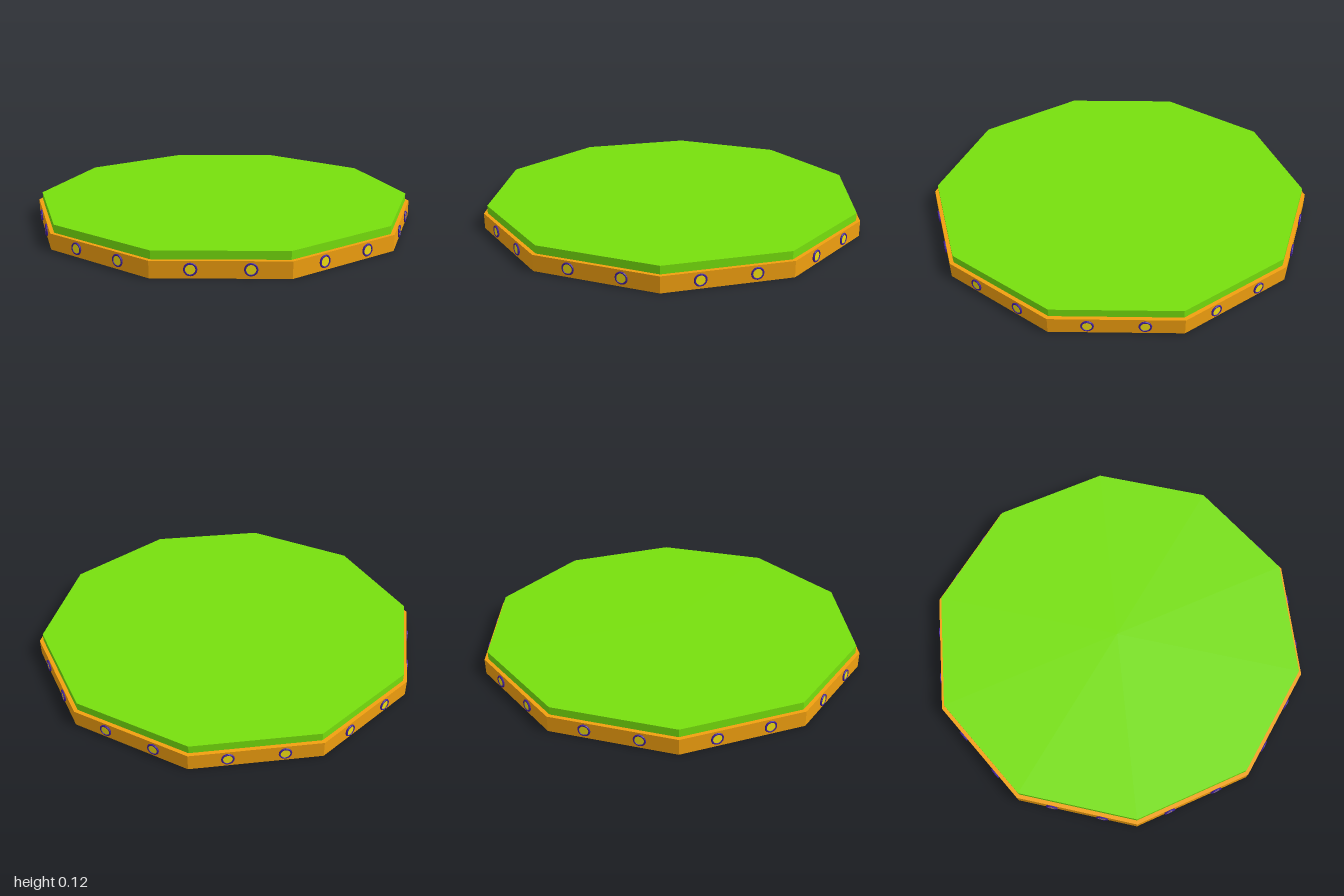
import * as THREE from 'three';

const SIDES = 10;
const STEP = (Math.PI * 2) / SIDES;
const APOTHEM = Math.cos(STEP / 2);

const paint = (color) => new THREE.MeshStandardMaterial({ color, flatShading: true });

// Ten-sided slab with flat sides facing +z and -z
function slab(name, radius, bottom, top, material) {
  const geometry = new THREE.CylinderGeometry(radius, radius, top - bottom, SIDES, 1, false, STEP / 2);
  geometry.translate(0, (bottom + top) / 2, 0);
  const mesh = new THREE.Mesh(geometry, material);
  mesh.name = name;
  return mesh;
}

export function createModel() {
  const model = new THREE.Group();
  model.name = 'platform';

  model.add(slab('base', 1, 0, 0.08, paint(0xf2a00f)));
  model.add(slab('topDeck', 0.98, 0.08, 0.12, paint(0x77e00d)));

  // Round lamps: a yellow lens set in a raised purple rim
  const lensGeometry = new THREE.CylinderGeometry(0.026, 0.026, 0.012, 16);
  lensGeometry.rotateX(Math.PI / 2);
  const rimGeometry = new THREE.TorusGeometry(0.026, 0.005, 6, 16);
  const lensMaterial = paint(0xf2e010);
  const rimMaterial = paint(0x42209a);

  for (let i = 0; i < SIDES; i++) {
    const side = new THREE.Group();
    side.name = 'sideLamps';
    side.rotation.y = i * STEP;
    for (const x of [-0.13, 0.13]) {
      const lamp = new THREE.Group();
      lamp.name = 'lamp';
      lamp.position.set(x, 0.043, APOTHEM);
      const lens = new THREE.Mesh(lensGeometry, lensMaterial);
      lens.name = 'lens';
      const rim = new THREE.Mesh(rimGeometry, rimMaterial);
      rim.name = 'rim';
      rim.position.z = 0.004;
      lamp.add(lens, rim);
      side.add(lamp);
    }
    model.add(side);
  }
  return model;
}
